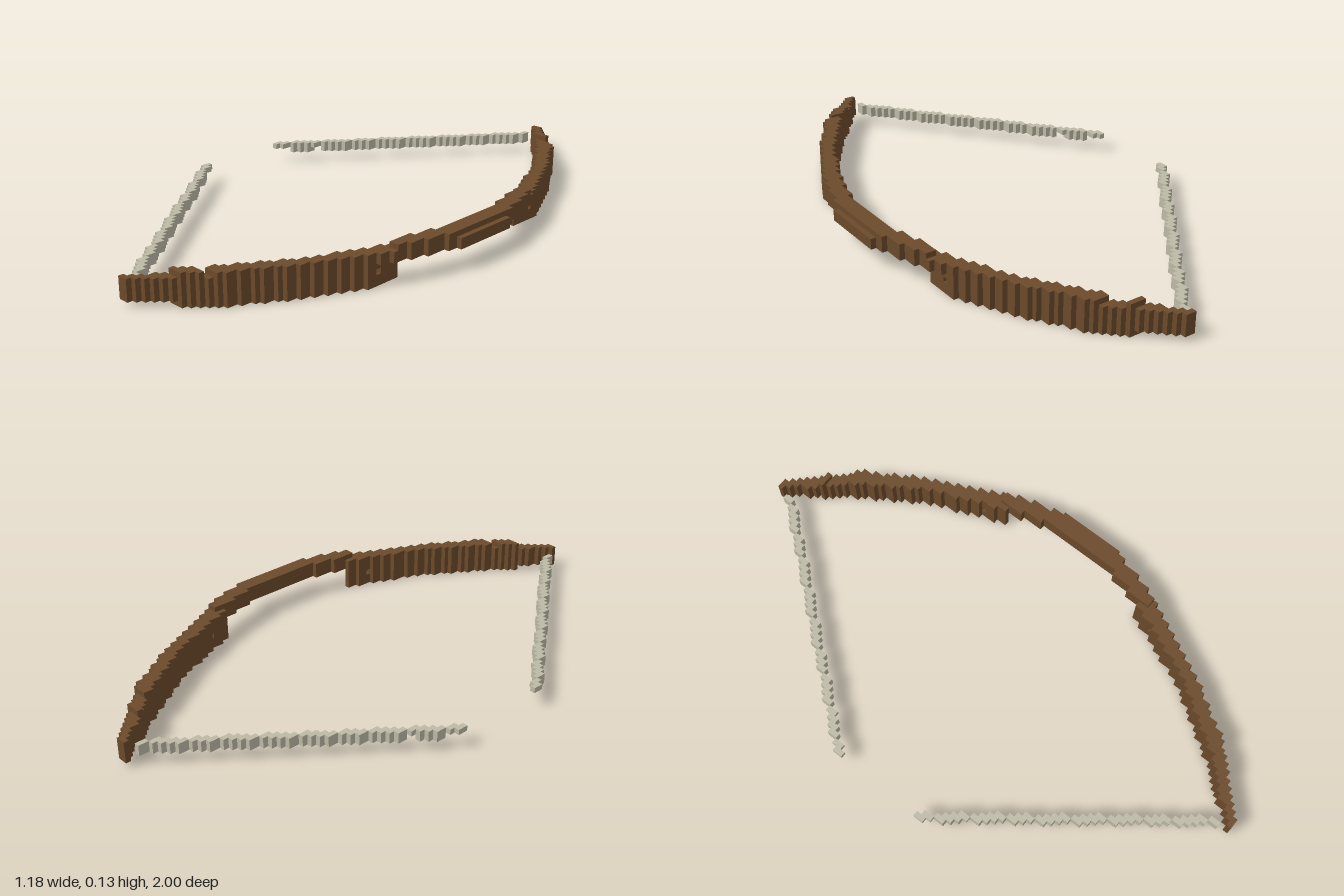
import * as THREE from 'three';
import { mergeGeometries } from 'three/addons/utils/BufferGeometryUtils.js';

const V = 2 / 107; // edge of one cube; grid is 63 x 7 x 107, centred in x and z

// Box covering cells x0..x1, y0..y1, z0..z1 (inclusive; x and z count from the centre)
function cells(x0, x1, y0, y1, z0, z1) {
  return new THREE.BoxGeometry((x1 - x0 + 1) * V, (y1 - y0 + 1) * V, (z1 - z0 + 1) * V)
    .translate((x0 + x1) / 2 * V, (y0 + y1 + 1) / 2 * V, (z0 + z1) / 2 * V);
}

// Linear interpolation through [z, x] points
function lookup(points, z) {
  for (let i = 1; i < points.length; i++) {
    const [za, xa] = points[i - 1], [zb, xb] = points[i];
    if (z <= zb) return xa + (xb - xa) * (z - za) / (zb - za);
  }
  return points[points.length - 1][1];
}

// Front and string-side edges of the curved bow, by distance from the middle
const OUTER = [[0, 0.59], [0.115, 0.589], [0.125, 0.57], [0.21, 0.55], [0.35, 0.505],
  [0.58, 0.39], [0.82, 0.24], [1, 0.055]];
const INNER = [[0, 0.515], [0.13, 0.51], [0.2, 0.5], [0.32, 0.455], [0.56, 0.35],
  [0.79, 0.2], [1, 0.02]];

// First and last x cell of the bow in slice k
function span(k) {
  const z = Math.abs(k) * V;
  const lo = Math.round(lookup(INNER, z) / V + 0.5);
  return [lo, Math.max(lo + 1, Math.round(lookup(OUTER, z) / V - 0.5))];
}

export function createModel() {
  const wood = new THREE.MeshStandardMaterial({ color: 0x6b4a2b });
  wood.name = 'brown wood';
  const cord = new THREE.MeshStandardMaterial({ color: 0xbdb9a6 });
  cord.name = 'pale cord';

  const group = new THREE.Group();
  group.name = 'bow';
  const add = (name, boxes, material) => {
    const mesh = new THREE.Mesh(mergeGeometries(boxes), material);
    mesh.name = name;
    group.add(mesh);
  };

  // Raised grip in the middle
  const grip = [];
  for (let k = -17; k <= 17; k++) {
    const [a, b] = span(k);
    grip.push(cells(a, b, 4, 5, k, k));
    grip.push(cells(Math.max(a, 26), Math.min(b, 30), 6, 6, k, k));
  }
  add('grip', grip, wood);

  for (const side of [1, -1]) {
    const label = side > 0 ? 'front' : 'back';

    // Deep limb with a slanted inner end and a small drilled hole
    const limb = [];
    for (let n = 14; n <= 47; n++) {
      const k = n * side, [a, b] = span(k), low = Math.min(b, 25);
      const bottom = n >= 16 ? 0 : n === 15 ? 1 : 3;
      if (a <= low) {
        if (n === 20) limb.push(cells(a, low, 0, 1, k, k), cells(a, low, 3, 3, k, k));
        else limb.push(cells(a, low, bottom, 3, k, k));
      }
      // Notches along the top edge near the tips
      const notch = side > 0 ? n === 44 : n >= 44 && n <= 46;
      if (n > 17) limb.push(cells(a, b, 4, notch ? 4 : 5, k, k));
    }
    add(label + 'Limb', limb, wood);

    // Shallower tip
    const tip = [];
    for (let n = 48; n <= 53; n++) {
      const [a, b] = span(n);
      tip.push(cells(a, b, 1, 4, n * side, n * side));
    }
    add(label + 'Tip', tip, wood);

    // Stepped string running back from the tip
    const string = [];
    for (let i = 0; i <= 32; i++) {
      const n = Math.round(9 + 1.27 * i), z = [n * side, (n + 1) * side].sort((p, q) => p - q);
      const thin = i < 2 || i === 5;
      string.push(cells(i - 31, i - 31, thin ? 3 : 2, 3, z[0], z[1]));
    }
    add(label + 'String', string, cord);
  }
  return group;
}
